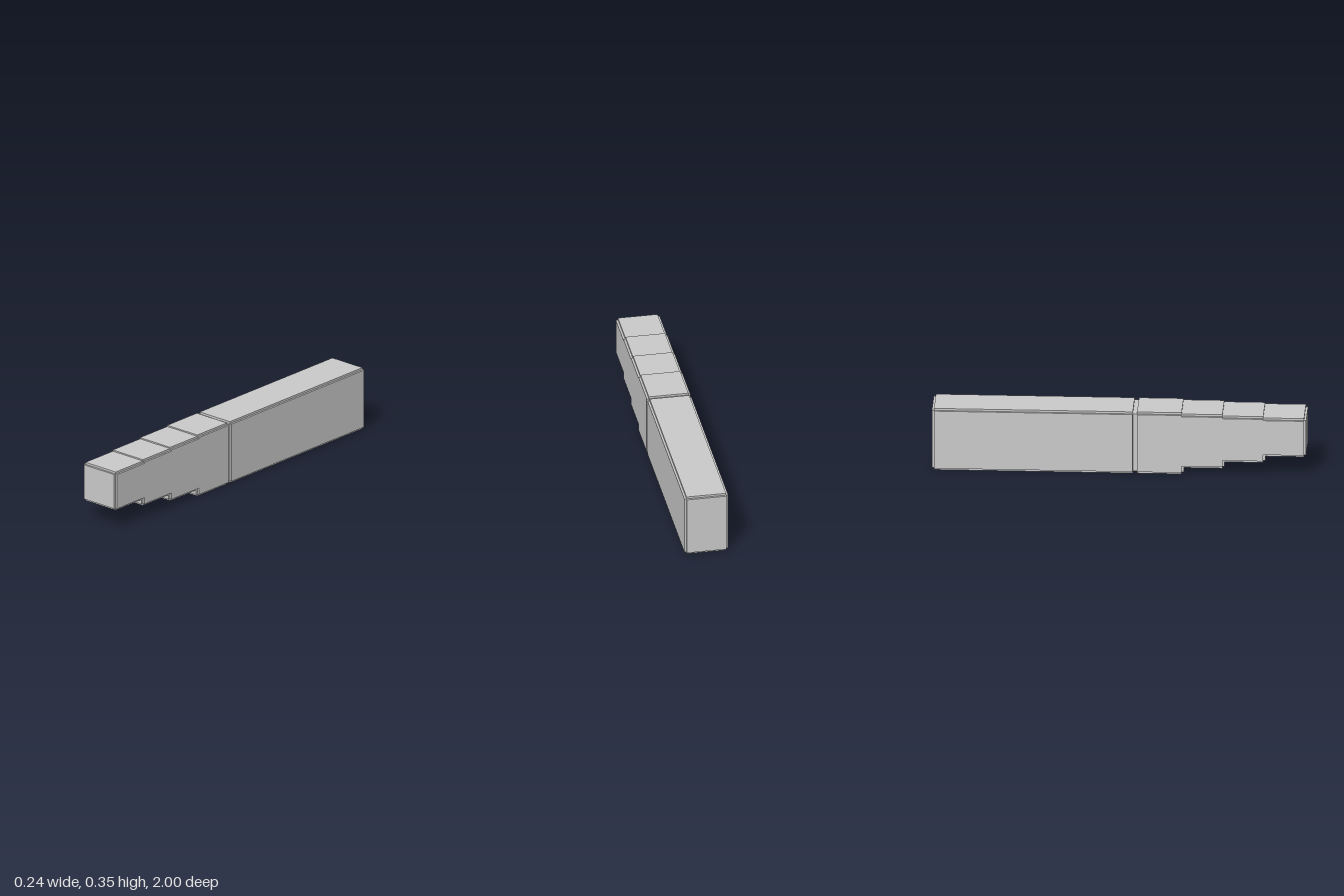
import * as THREE from 'three';

const material = new THREE.MeshStandardMaterial({ color: 0xcccccc, flatShading: true });
const INSET = 0.0115;       // depth of the rebate along every edge
const HALF_WIDTH = 0.119;
const JOINT = 0.085;        // z where the two blocks meet

// Side outline (z, y) of a row of steps running forward from z = back,
// shrunk by dz at the ends and dy at top and bottom.
function outline(back, steps, dz, dy) {
  const lower = [], upper = [];
  let z = back + dz;
  for (const { front, bottom, top } of steps) {
    lower.push([z, bottom + dy], [front - dz, bottom + dy]);
    upper.push([z, top - dy], [front - dz, top - dy]);
    z = front - dz;
  }
  return new THREE.Shape([...lower, ...upper.reverse()].map(([a, b]) => new THREE.Vector2(a, b)));
}

// A block with square-notched edges: three solids, each full size along one axis.
function notchedBlock(name, back, steps) {
  const group = new THREE.Group();
  group.name = name;
  const layers = [
    ['sideFaces', INSET, INSET, INSET, 0],
    ['topAndBottomFaces', INSET, 0, 0, INSET],
    ['endFaces', 0, INSET, INSET, INSET],
  ];
  for (const [part, dz, dy, , dx] of layers) {
    const w = HALF_WIDTH - dx;
    const geometry = new THREE.ExtrudeGeometry(outline(back, steps, dz, dy), { depth: 2 * w, bevelEnabled: false });
    geometry.rotateY(-Math.PI / 2).translate(w, 0, 0);
    const mesh = new THREE.Mesh(geometry, material);
    mesh.name = part;
    group.add(mesh);
  }
  return group;
}

export function createModel() {
  const model = new THREE.Group();
  model.name = 'steppedBeam';

  // Long plain rear block
  model.add(notchedBlock('rearBlock', -1, [{ front: JOINT, bottom: 0, top: 0.35 }]));

  // Front block, narrowing in four steps toward the front
  const steps = [0.346, 0.564, 0.782, 1].map((front, i) => ({
    front,
    bottom: 0.0367 * i,
    top: 0.35 - 0.0071 * i,
  }));
  model.add(notchedBlock('steppedFrontBlock', JOINT, steps));

  return model;
}
